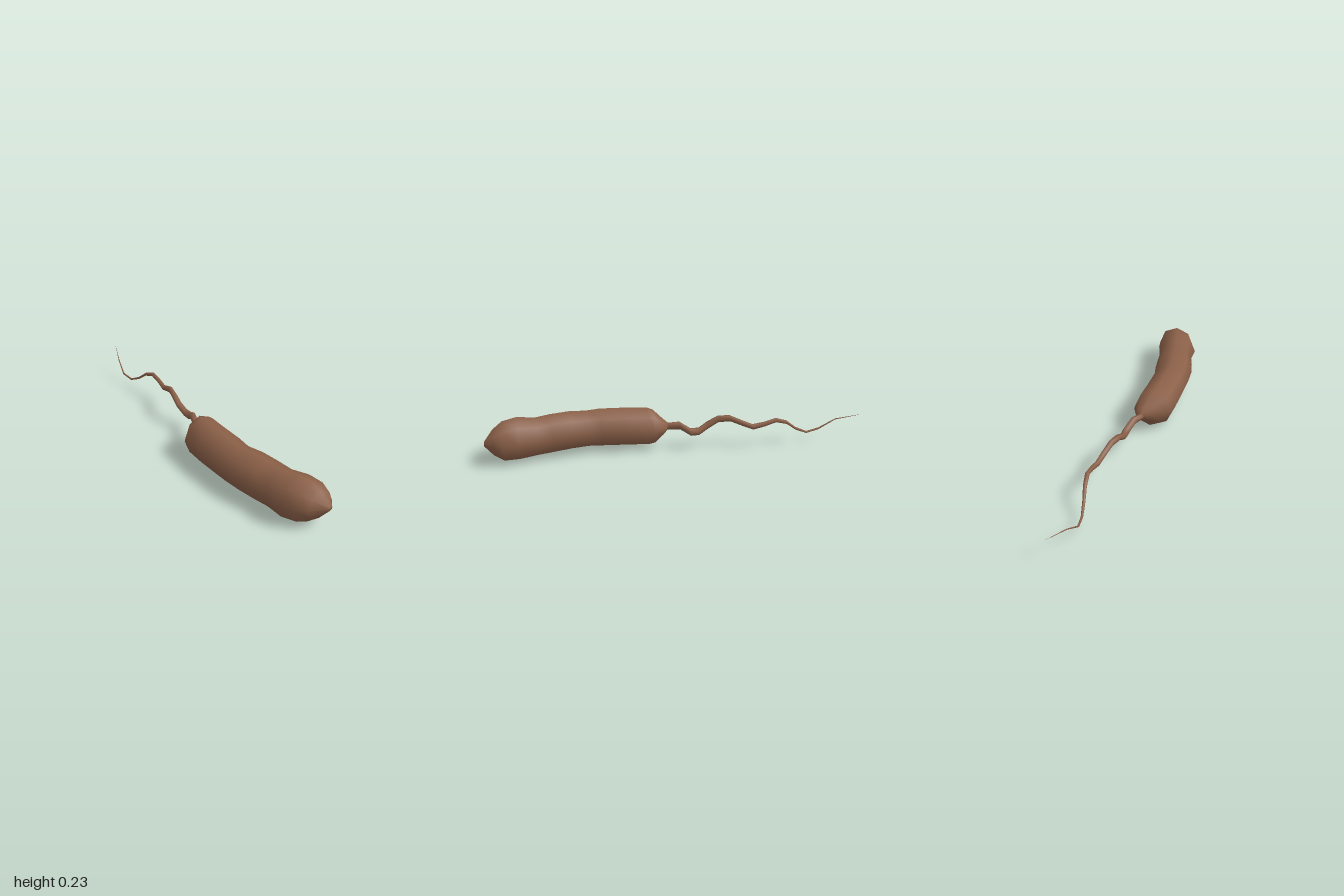
import * as THREE from 'three';

const material = new THREE.MeshStandardMaterial({ color: 0x8b6048, roughness: 0.9 });

// Skin smooth rings along z; each section is [z, centreX, centreY, radiusX, radiusY], running from +z to -z.
// The first and last sections are closed with a single point.
function loft(name, sections, sides) {
  const points = [];
  const faces = [];
  for (const [z, cx, cy, rx, ry] of sections) {
    for (let i = 0; i < sides; i++) {
      const a = (i / sides) * Math.PI * 2;
      points.push(cx + Math.cos(a) * rx, cy + Math.sin(a) * ry, z);
    }
  }
  const last = sections.length - 1;
  for (let s = 0; s < last; s++) {
    for (let i = 0; i < sides; i++) {
      const j = (i + 1) % sides;
      const a = s * sides + i, b = s * sides + j;
      const c = a + sides, d = b + sides;
      faces.push(a, c, b, b, c, d);
    }
  }
  const front = points.length / 3;
  const back = front + 1;
  for (const [z, cx, cy] of [sections[0], sections[last]]) points.push(cx, cy, z);
  for (let i = 0; i < sides; i++) {
    const j = (i + 1) % sides;
    faces.push(front, i, j, back, last * sides + j, last * sides + i);
  }
  const geometry = new THREE.BufferGeometry();
  geometry.setAttribute('position', new THREE.Float32BufferAttribute(points, 3));
  geometry.setIndex(faces);
  geometry.computeVertexNormals();
  const mesh = new THREE.Mesh(geometry, material);
  mesh.name = name;
  return mesh;
}

export function createModel() {
  const model = new THREE.Group();
  model.name = 'bacterium';

  // Slightly bent, uneven rod-shaped cell
  model.add(loft('cellBody', [
    [1.0, 0.03, 0.122, 0.012, 0.012],
    [0.955, 0.012, 0.12, 0.075, 0.07],
    [0.905, -0.003, 0.116, 0.104, 0.109],
    [0.83, -0.022, 0.118, 0.115, 0.117],
    [0.74, -0.032, 0.114, 0.1, 0.106],
    [0.66, -0.045, 0.12, 0.106, 0.107],
    [0.56, -0.058, 0.125, 0.11, 0.105],
    [0.47, -0.066, 0.122, 0.102, 0.101],
    [0.4, -0.061, 0.124, 0.104, 0.106],
    [0.27, -0.051, 0.121, 0.106, 0.107],
    [0.15, -0.037, 0.118, 0.106, 0.106],
    [0.12, -0.023, 0.118, 0.09, 0.097],
    [0.07, -0.003, 0.122, 0.05, 0.045],
    [0.045, 0.003, 0.125, 0.02, 0.02],
  ], 8));

  // Wavy flagellum tapering to a hair: [z, x, y, radius]
  const path = [
    [0.08, 0, 0.122, 0.016],
    [0.04, 0.012, 0.125, 0.019],
    [-0.015, 0.035, 0.133, 0.021],
    [-0.07, 0.06, 0.1, 0.021],
    [-0.115, 0.061, 0.1, 0.02],
    [-0.165, 0.055, 0.13, 0.02],
    [-0.22, 0.062, 0.162, 0.018],
    [-0.28, 0.08, 0.168, 0.017],
    [-0.34, 0.1, 0.144, 0.016],
    [-0.4, 0.117, 0.121, 0.015],
    [-0.46, 0.127, 0.135, 0.013],
    [-0.525, 0.128, 0.153, 0.012],
    [-0.59, 0.12, 0.132, 0.01],
    [-0.65, 0.108, 0.086, 0.008],
    [-0.72, 0.096, 0.053, 0.006],
    [-0.795, 0.088, 0.065, 0.005],
    [-0.88, 0.11, 0.121, 0.003],
    [-1.0, 0.163, 0.157, 0.0006],
  ];
  model.add(loft('flagellum', path.map(([z, x, y, r]) => [z, x, y, r, r]), 6));

  return model;
}
